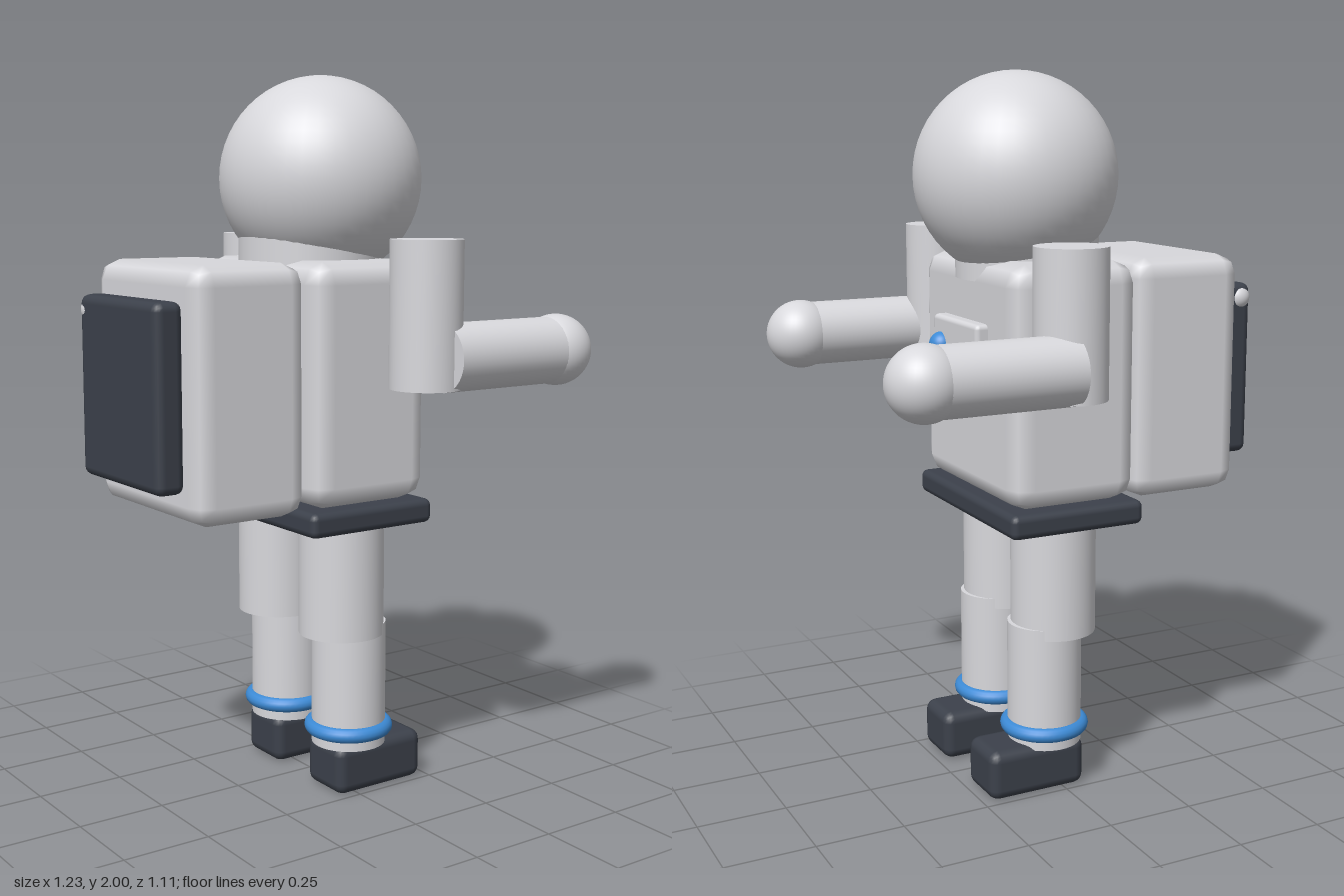
import * as THREE from 'three';
import { RoundedBoxGeometry } from 'three/addons/geometries/RoundedBoxGeometry.js';

export function createModel() {
  const model = new THREE.Group();
  const suit = new THREE.MeshStandardMaterial({ color: 0xd8d8dc });
  suit.name = 'suitGrey';
  const dark = new THREE.MeshStandardMaterial({ color: 0x3c414b });
  dark.name = 'darkRubber';
  const blue = new THREE.MeshStandardMaterial({ color: 0x3d8bd6 });
  blue.name = 'blueTrim';

  const add = (name, geometry, material, x, y, z) => {
    const mesh = new THREE.Mesh(geometry, material);
    mesh.name = name;
    mesh.position.set(x, y, z);
    model.add(mesh);
    return mesh;
  };
  // Soft box given by its limits in x and y, its depth and its centre in z
  const box = (name, material, x0, x1, y0, y1, depth, z, radius, segments = 1) =>
    add(name, new RoundedBoxGeometry(x1 - x0, y1 - y0, depth, segments, radius), material,
      (x0 + x1) / 2, (y0 + y1) / 2, z);
  // Upright cylinder between two heights
  const post = (name, radius, x, y0, y1, z) =>
    add(name, new THREE.CylinderGeometry(radius, radius, y1 - y0, 40), suit, x, (y0 + y1) / 2, z);
  const ball = (name, material, radius, x, y, z) =>
    add(name, new THREE.SphereGeometry(radius, 40, 28), material, x, y, z);

  // Head, neck and body; the figure looks along +x
  ball('helmet', suit, 0.283, 0.035, 1.717, 0);
  post('neckRing', 0.2, 0, 1.44, 1.6, 0);
  box('torso', suit, -0.19, 0.19, 0.84, 1.5, 0.61, 0, 0.06);
  box('belt', dark, -0.205, 0.2, 0.772, 0.84, 0.625, 0, 0.02, 2);

  // Chest panel with its button
  box('chestPanel', suit, 0.165, 0.225, 1.138, 1.332, 0.285, 0, 0.014, 2);
  ball('chestButton', blue, 0.036, 0.222, 1.25, 0.09);

  // Backpack, its dark cover and a small lamp in the cover's corner
  box('backpack', suit, -0.535, -0.193, 0.828, 1.5, 0.555, 0, 0.055);
  box('backpackCover', dark, -0.614, -0.53, 0.915, 1.41, 0.425, 0, 0.025, 2);
  ball('backpackLamp', suit, 0.036, -0.58, 1.368, -0.187);

  for (const side of [1, -1]) {
    const label = side > 0 ? 'left' : 'right';

    // Arm: upright upper arm, level forearm and round hand
    post(label + 'UpperArm', 0.098, 0.085, 1.167, 1.56, side * 0.414);
    const forearm = post(label + 'Forearm', 0.092, 0.307, 1.045, 1.455, side * 0.457);
    forearm.rotation.z = -Math.PI / 2;
    ball(label + 'Hand', suit, 0.099, 0.511, 1.25, side * 0.457);

    // Leg: thigh, shin, ankle ring and boot
    post(label + 'Thigh', 0.12, -0.002, 0.455, 0.79, side * 0.157);
    post(label + 'Shin', 0.105, 0.025, 0.13, 0.485, side * 0.157);
    const ring = add(label + 'AnkleRing', new THREE.TorusGeometry(0.105, 0.021, 14, 48), blue,
      0.025, 0.177, side * 0.157);
    ring.rotation.x = Math.PI / 2;
    box(label + 'Boot', dark, -0.065, 0.23, 0, 0.142, 0.167, side * 0.157, 0.03, 2);
  }
  return model;
}
